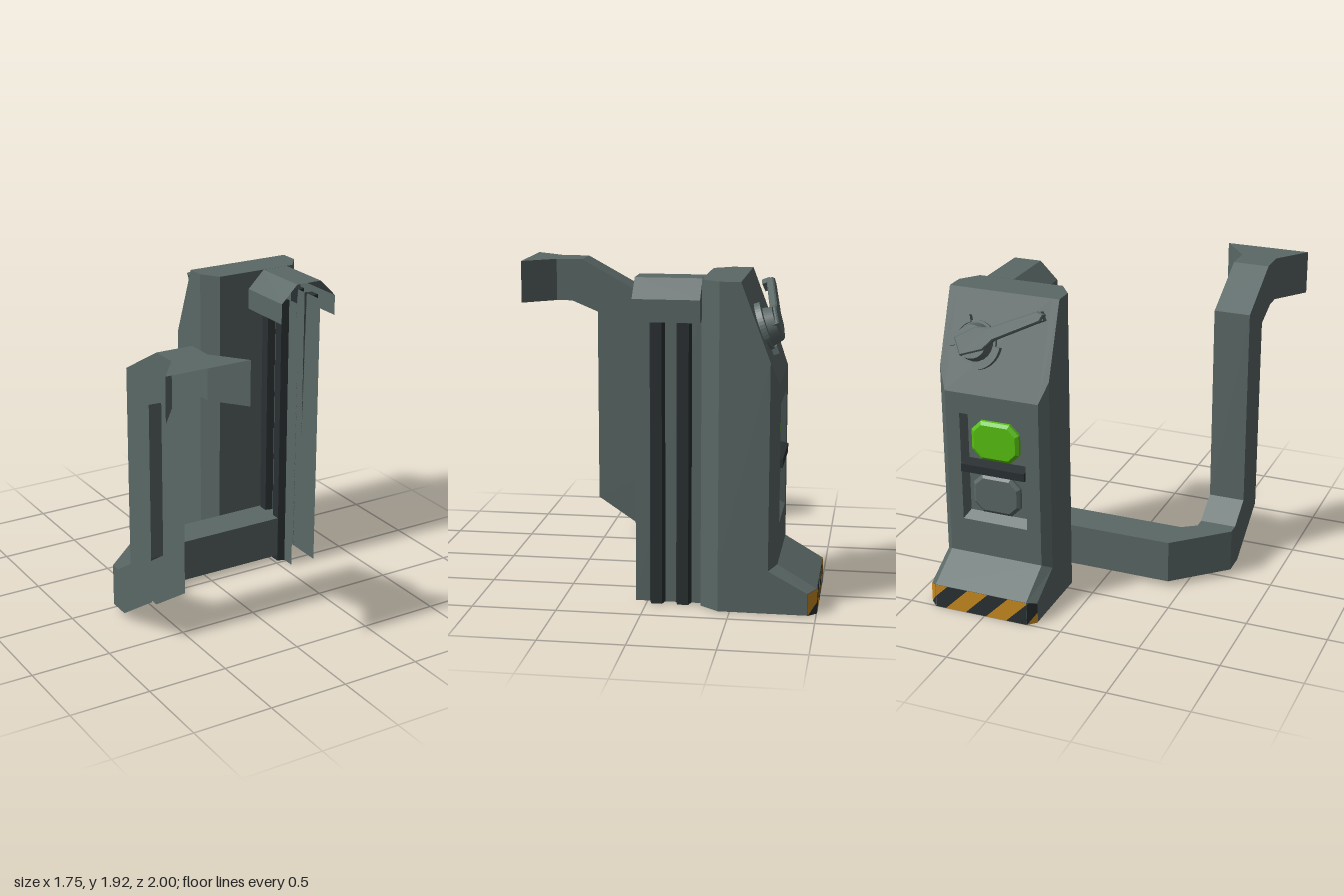
import * as THREE from 'three';

const mat = (name, color) => {
  const m = new THREE.MeshStandardMaterial({ color, side: THREE.DoubleSide });
  m.name = name;
  return m;
};

// Joins rings of points with flat quads; skip(segment, side) leaves a quad out
function loft(rings, { closed = true, start = false, end = false, skip = () => false } = {}) {
  const pos = [];
  const tri = (...pts) => pts.forEach(p => pos.push(...p));
  const n = rings[0].length;
  for (let i = 0; i + 1 < rings.length; i++) {
    for (let j = 0; j < (closed ? n : n - 1); j++) {
      if (skip(i, j)) continue;
      const k = (j + 1) % n;
      const [a, b, c, d] = [rings[i][j], rings[i][k], rings[i + 1][k], rings[i + 1][j]];
      tri(a, b, c); tri(a, c, d);
    }
  }
  const last = rings[rings.length - 1];
  for (let j = 1; j + 1 < n; j++) {
    if (end) tri(last[0], last[j], last[j + 1]);
    if (start) tri(rings[0][0], rings[0][j + 1], rings[0][j]);
  }
  return flat(pos);
}

function flat(pos) {
  const g = new THREE.BufferGeometry();
  g.setAttribute('position', new THREE.Float32BufferAttribute(pos, 3));
  g.computeVertexNormals();
  return g;
}

// Rectangle with cut corners, in a plane of constant z
function cutRect(cx, cy, w, h, c, z) {
  const x = w / 2, y = h / 2;
  return [[-x, y - c], [c - x, y], [x - c, y], [x, y - c], [x, c - y], [x - c, -y], [c - x, -y], [-x, c - y]]
    .map(([px, py]) => [cx + px, cy + py, z]);
}

// Keeps the part of a polygon where f >= 0
function clip(poly, f) {
  const out = [];
  poly.forEach((p, i) => {
    const q = poly[(i + 1) % poly.length], a = f(p), b = f(q);
    if (a >= 0) out.push(p);
    if (a * b < 0) out.push(p.map((v, k) => v + (q[k] - v) * a / (a - b)));
  });
  return out;
}

export function createModel() {
  const root = new THREE.Group();
  root.name = 'controlPost';
  const metal = mat('greyGreenMetal', 0x5a6866);
  const dark = mat('darkMetal', 0x2a3032);
  const orange = mat('hazardOrange', 0xc98a20);
  const green = mat('greenScreen', 0x58c010);
  const add = (name, geo, m = metal, parent = root) => {
    const mesh = new THREE.Mesh(geo, m);
    mesh.name = name;
    parent.add(mesh);
    return mesh;
  };

  // Hollow post: level = height of back edge, height of chamfer edge, back z, chamfer z
  const levels = [[0, 0, -1, -0.95], [0.15, 0.13, -1, -0.95], [0.285, 0.255, -0.77, -0.72],
    [1.34, 1.47, -0.77, -0.72], [1.92, 1.92, -0.55, -0.55]];
  add('postBody', loft(levels.map(([yb, yo, zb, zo]) => [
    [0.25, yo, -0.32], [0.79, yo, -0.32], [0.875, yo, -0.43], [0.875, yo, zo],
    [0.825, yb, zb], [0.22, yb, zb], [0.17, yo, zo], [0.17, yo, -0.43]]),
  { end: true, skip: (i, j) => i === 2 && j === 4 }));

  // Back panel with a tapered recess
  const panel = new THREE.Shape([[-0.825, 0.285], [-0.22, 0.285], [-0.22, 1.34], [-0.825, 1.34]]
    .map(p => new THREE.Vector2(...p)));
  panel.holes.push(new THREE.Path([[-0.735, 0.51], [-0.735, 1.21], [-0.31, 1.21], [-0.31, 0.51]]
    .map(p => new THREE.Vector2(...p))));
  add('backPanel', new THREE.ShapeGeometry(panel).rotateY(Math.PI).translate(0, 0, -0.77));
  const rect = (x0, x1, y0, y1, z) => [[x0, y0, z], [x0, y1, z], [x1, y1, z], [x1, y0, z]];
  add('panelRecess', loft([rect(0.31, 0.735, 0.51, 1.21, -0.77),
    rect(0.335, 0.71, 0.55, 1.19, -0.71)], { end: true }));

  // Screens in the recess and the dark bar between them
  [['upperScreen', 1.035, green], ['lowerScreen', 0.685, metal]].forEach(([name, y, m]) =>
    add(name, loft([cutRect(0.5225, y, 0.31, 0.25, 0.06, -0.71), cutRect(0.5225, y, 0.31, 0.25, 0.06, -0.73),
      cutRect(0.5225, y, 0.27, 0.21, 0.05, -0.745)], { end: true }), m));
  add('dividerBar', loft([rect(0.315, 0.73, 0.82, 0.9, -0.71), rect(0.315, 0.73, 0.835, 0.885, -0.785)],
    { end: true }), dark);

  // Diagonal hazard stripes folded around the foot
  const fold = [[-0.07, 0.875, -0.95, 0.13], [0, 0.825, -1, 0.15], [0.605, 0.22, -1, 0.15], [0.675, 0.17, -0.95, 0.13]];
  const stripes = [[], []];
  for (let s = 0; s < 3; s++) {
    const [t0, x0, z0, h0] = fold[s], [t1, x1, z1, h1] = fold[s + 1];
    const dx = [0.003, 0, -0.003][s];
    for (let k = -2; k < 6; k++) {
      const b = -0.07 + 0.135 * k;
      let poly = clip([[t0, 0], [t1, 0], [t1, h1], [t0, h0]], ([t, y]) => t - y - b);
      poly = clip(poly, ([t, y]) => b + 0.135 - t + y).map(([t, y]) => {
        const f = (t - t0) / (t1 - t0);
        return [x0 + (x1 - x0) * f + dx, y, z0 + (z1 - z0) * f - 0.003];
      });
      for (let j = 1; j + 1 < poly.length; j++)
        stripes[Math.abs(k % 2)].push(...poly[0], ...poly[j], ...poly[j + 1]);
    }
  }
  add('hazardStripesDark', flat(stripes[0]), dark);
  add('hazardStripesOrange', flat(stripes[1]), orange);

  // Track in front of the post: open hood, two sheets, ribs on their outer sides
  const arch = z => [[0.46, 1.68, z], [0.46, 1.81, z], [0.57, 1.92, z], [0.745, 1.92, z], [0.855, 1.81, z], [0.855, 1.68, z]];
  add('trackHood', loft([arch(0.07), arch(-0.318)], { closed: false, end: true }));
  for (const side of [1, -1]) {
    const X = x => 0.6575 + side * x;
    const track = new THREE.Group();
    track.name = side > 0 ? 'leftTrack' : 'rightTrack';
    root.add(track);
    const sheet = [[X(0.0875), 0.07], [X(0.0875), -0.32]];
    if (side < 0) sheet.reverse();
    add('trackSheet', loft([0, 1.8].map(y => sheet.map(([x, z]) => [x, y, z])), { closed: false }), metal, track);
    for (const z of [-0.06, -0.215]) {
      const rib = [[X(0.0875), z + 0.045], [X(0.135), z + 0.032], [X(0.135), z - 0.032], [X(0.0875), z - 0.045]];
      if (side < 0) rib.reverse();
      add('trackRib', loft([0, 1.8].map(y => rib.map(([x, zz]) => [x, y, zz])), { start: true, end: true }), dark, track);
    }
  }

  // Arm: a channel open on its lower side; station = xL, xR, closed edge y z, open edge y z
  const leg = (xl, xr, ty, tz, by, bz) => [[xl, by, bz], [xl, ty, tz], [xr, ty, tz], [xr, by, bz]];
  const run = (xl, zl, xr, zr) => [[xl, 0.04, zl], [xl, 0.31, zl], [xr, 0.31, zr], [xr, 0.04, zr]];
  add('armChannel', loft([
    leg(-0.875, -0.345, 1.87, 1, 1.6, 1),
    leg(-0.725, -0.5, 1.87, 0.8, 1.6, 0.8),
    leg(-0.725, -0.5, 1.87, 0.63, 1.6, 0.7),
    leg(-0.725, -0.5, 1.67, 0.265, 1.53, 0.53),
    leg(-0.725, -0.5, 0.42, 0.265, 0.28, 0.53),
    leg(-0.725, -0.5, 0.31, 0.1, 0.04, 0.17),
    run(-0.725, 0.03, -0.5, 0.03),
    run(-0.41, -0.26, -0.41, -0.03),
    run(0.605, -0.26, 0.605, -0.03)], { closed: false }));

  // Rotary handle on the sloped face
  const dial = new THREE.Group();
  dial.name = 'rotaryHandle';
  dial.position.set(0.655, 1.63, -0.66);
  dial.rotation.set(-0.363, Math.PI, 0, 'YXZ');
  root.add(dial);
  for (const a of [1.9, 4.7]) {
    const arc = new THREE.Shape();
    arc.absarc(0, 0, 0.165, a, a + 1.5, false);
    arc.absarc(0, 0, 0.12, a + 1.5, a, true);
    add('dialGuard', new THREE.ExtrudeGeometry(arc, { depth: 0.035, bevelEnabled: false, curveSegments: 6 }), metal, dial);
  }
  const disc = (name, r0, r1, h, z) =>
    add(name, new THREE.CylinderGeometry(r1, r0, h, 20).rotateX(Math.PI / 2).translate(0, 0, z + h / 2), metal, dial);
  disc('dialBase', 0.13, 0.13, 0.02, 0);
  disc('dialHub', 0.115, 0.1, 0.065, 0.02);
  const lever = new THREE.Group();
  lever.name = 'lever';
  lever.rotation.z = 0.45;
  dial.add(lever);
  const bar = new THREE.Shape([[-0.08, -0.05], [0.06, -0.065], [0.14, -0.032], [0.45, -0.024], [0.48, 0],
    [0.45, 0.024], [0.14, 0.032], [0.06, 0.065], [-0.08, 0.05]].map(p => new THREE.Vector2(...p)));
  add('leverBar', new THREE.ExtrudeGeometry(bar, { depth: 0.03, bevelEnabled: true, bevelSize: 0.008,
    bevelThickness: 0.008, bevelSegments: 1 }).translate(0, 0, 0.065), metal, lever);
  add('leverTip', new THREE.BoxGeometry(0.05, 0.055, 0.05).translate(0.445, 0, 0.055), metal, lever);
  return root;
}
